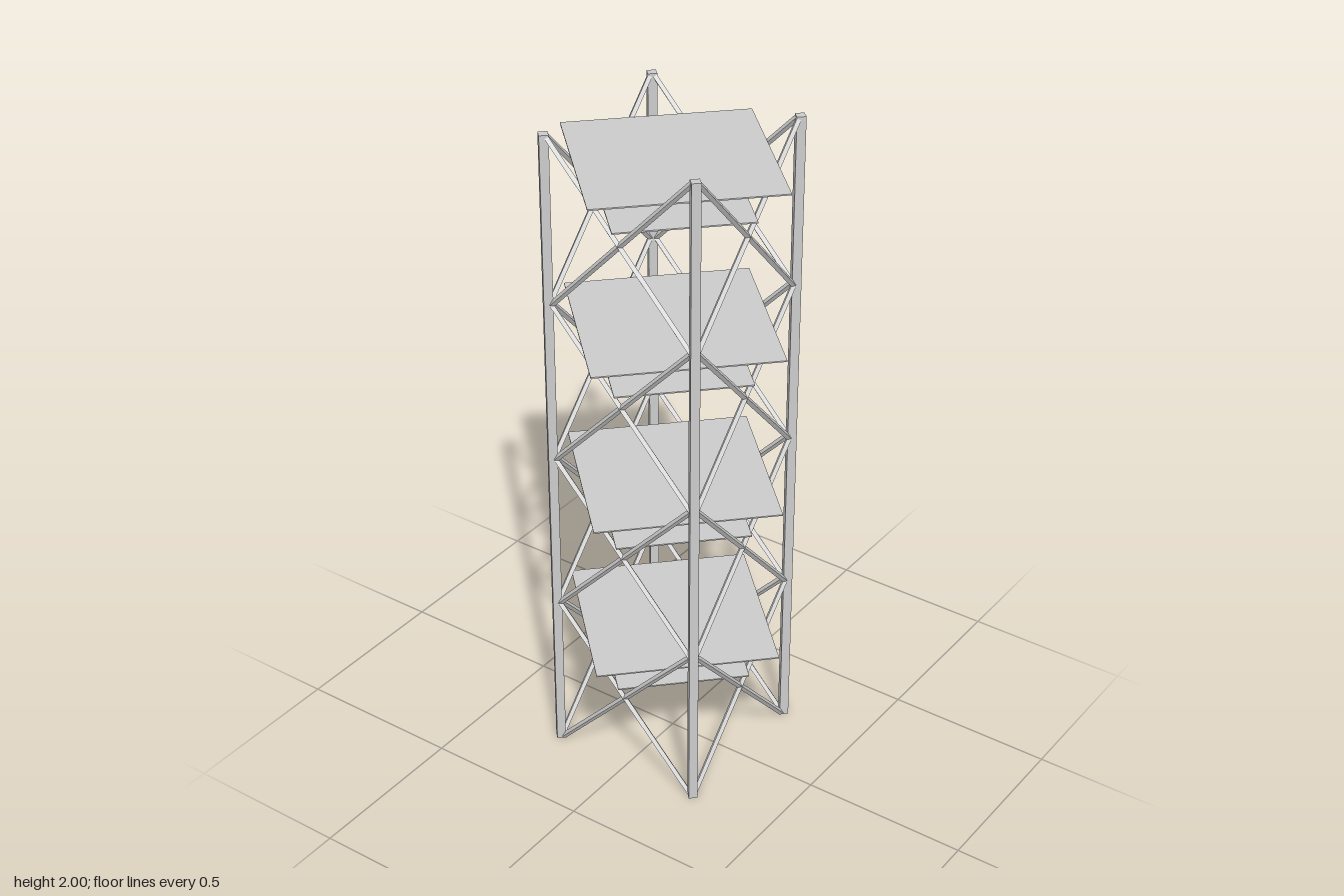
import * as THREE from 'three';

const grey = new THREE.MeshStandardMaterial({ color: 0xcccccc, flatShading: true });

const POST = 0.243;    // post centre offset in x and z
const TIERS = 4;
const BASE = 0.004;    // height of the lowest brace ends
const STEP = 0.4965;   // height of one tier
const REACH = 0.232;   // half width of a brace

function add(parent, name, geometry) {
  const mesh = new THREE.Mesh(geometry, grey);
  mesh.name = name;
  parent.add(mesh);
  return mesh;
}

// Horizontal square sheet turned 45 degrees, sized by its half diagonal
function addPlate(parent, name, halfDiagonal, y) {
  const side = halfDiagonal * Math.SQRT2;
  const plate = add(parent, name, new THREE.BoxGeometry(side, 0.004, side));
  plate.rotation.y = Math.PI / 4;
  plate.position.y = y;
}

export function createModel() {
  const tower = new THREE.Group();
  tower.name = 'latticeTower';

  // Four square corner posts, with edges facing outwards
  const postGeometry = new THREE.CylinderGeometry(0.0185, 0.0185, 2, 4);
  for (const x of [-POST, POST])
    for (const z of [-POST, POST])
      add(tower, 'cornerPost', postGeometry).position.set(x, 1, z);

  // Crossed braces on each of the four sides
  const braceGeometry = new THREE.CylinderGeometry(0.009, 0.009, Math.hypot(2 * REACH, STEP), 4);
  const lean = Math.atan2(2 * REACH, STEP);
  for (let side = 0; side < 4; side++) {
    const panel = new THREE.Group();
    panel.name = 'bracedSide';
    panel.rotation.y = side * Math.PI / 2;
    for (let i = 0; i < TIERS; i++)
      for (const dir of [-1, 1]) {
        const brace = add(panel, 'diagonalBrace', braceGeometry);
        brace.position.set(0, BASE + (i + 0.5) * STEP, POST);
        brace.rotation.z = dir * lean;
      }
    tower.add(panel);
  }

  // A small and a large shelf in every tier
  for (let i = 0; i < TIERS; i++) {
    addPlate(tower, 'lowerShelf', 0.275, 0.302 + i * STEP);
    addPlate(tower, 'upperShelf', 0.377, 0.413 + i * STEP);
  }
  return tower;
}
